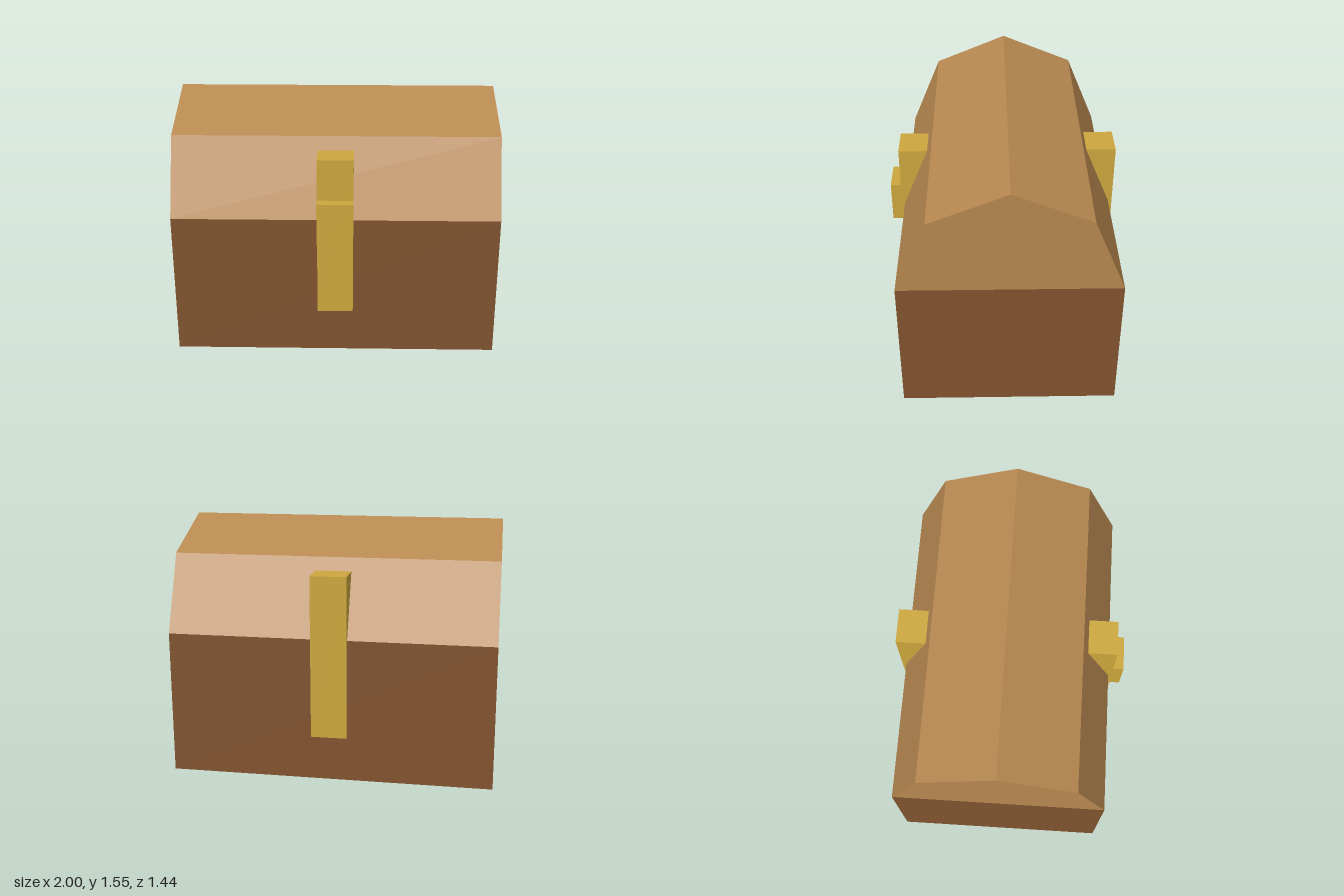
import * as THREE from 'three';

const mat = (name, color) => {
  const m = new THREE.MeshStandardMaterial({ color });
  m.name = name;
  return m;
};

export function createModel() {
  const chest = new THREE.Group();
  chest.name = 'chest';
  const darkWood = mat('dark wood', 0x80532e);
  const lightWood = mat('light wood', 0xb78850);
  const gold = mat('gold', 0xcca73d);

  // Box spanning the given ranges on each axis
  const block = (name, material, [x0, x1], [y0, y1], [z0, z1]) => {
    const mesh = new THREE.Mesh(new THREE.BoxGeometry(x1 - x0, y1 - y0, z1 - z0), material);
    mesh.position.set((x0 + x1) / 2, (y0 + y1) / 2, (z0 + z1) / 2);
    mesh.name = name;
    chest.add(mesh);
  };

  const centreZ = -0.03, radius = 0.665, rimY = 0.89;

  // Lower box
  block('body', darkWood, [-1, 1], [0, rimY], [centreZ - radius, centreZ + radius]);

  // Lid: upper half of an octagonal prism lying along x
  const profile = [];
  for (let i = 0; i <= 4; i++) {
    const a = (i * Math.PI) / 4;
    profile.push(new THREE.Vector2(centreZ + radius * Math.cos(a), rimY + radius * Math.sin(a)));
  }
  const lidGeometry = new THREE.ExtrudeGeometry(new THREE.Shape(profile), { depth: 2, bevelEnabled: false });
  lidGeometry.translate(0, 0, -1).rotateY(-Math.PI / 2);
  const lid = new THREE.Mesh(lidGeometry, lightWood);
  lid.name = 'lid';
  chest.add(lid);

  // Metal straps, sunk into the lid, and the clasp
  const strapX = [-0.11, 0.11], strapY = [0.28, 1.28];
  block('frontStrap', gold, strapX, strapY, [0.4, 0.655]);
  block('backStrap', gold, strapX, strapY, [-0.72, -0.46]);
  block('clasp', gold, strapX, [0.76, 1.025], [0.6, 0.72]);

  return chest;
}
